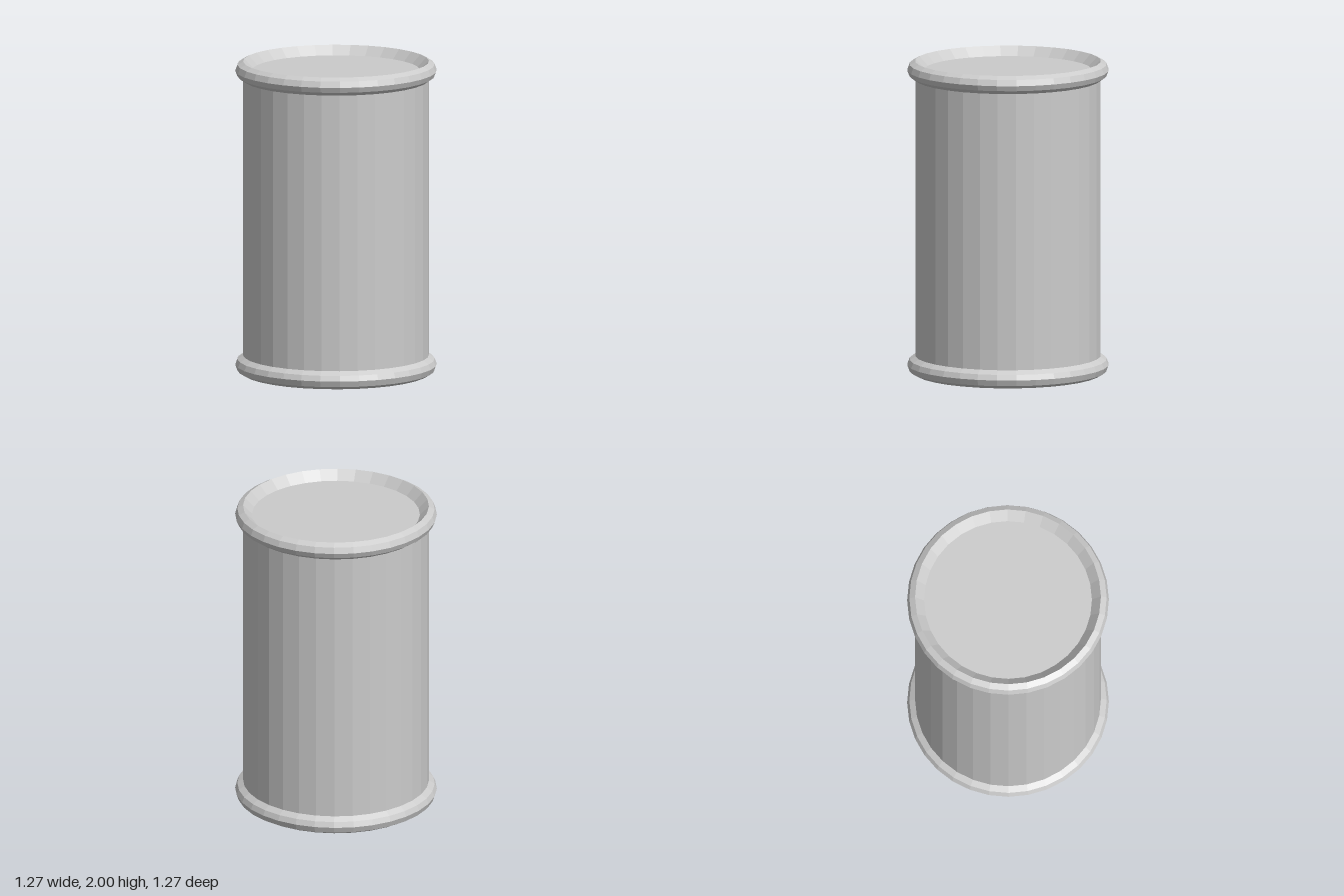
import * as THREE from 'three';

const SIDES = 32;
const HEIGHT = 2;
const RIM_Y = 0.058; // height of the rim's widest line above the base

export function createModel() {
  const group = new THREE.Group();
  const material = new THREE.MeshStandardMaterial({ color: 0xcccccc, flatShading: true });

  const add = (name, points, parent = group) => {
    const profile = points.map(([r, y]) => new THREE.Vector2(r, y));
    const mesh = new THREE.Mesh(new THREE.LatheGeometry(profile, SIDES), material);
    mesh.name = name;
    parent.add(mesh);
    return mesh;
  };

  // straight wall between the two rims
  add('body', [[0.587, 0.11], [0.587, HEIGHT - 0.11]]);

  // each end: a rounded rim sloping inwards to a recessed disc
  const addEnd = (name, top) => {
    const end = new THREE.Group();
    end.name = name;
    add('rim', [
      [0.53, RIM_Y], [0.587, 0], [0.623, 0.02], [0.637, RIM_Y],
      [0.623, 0.092], [0.587, 0.116],
    ], end);
    add('disc', [[0, RIM_Y], [0.53, RIM_Y]], end);
    if (top) {
      end.rotation.x = Math.PI;
      end.position.y = HEIGHT;
    }
    group.add(end);
  };
  addEnd('bottomEnd', false);
  addEnd('topEnd', true);

  return group;
}
